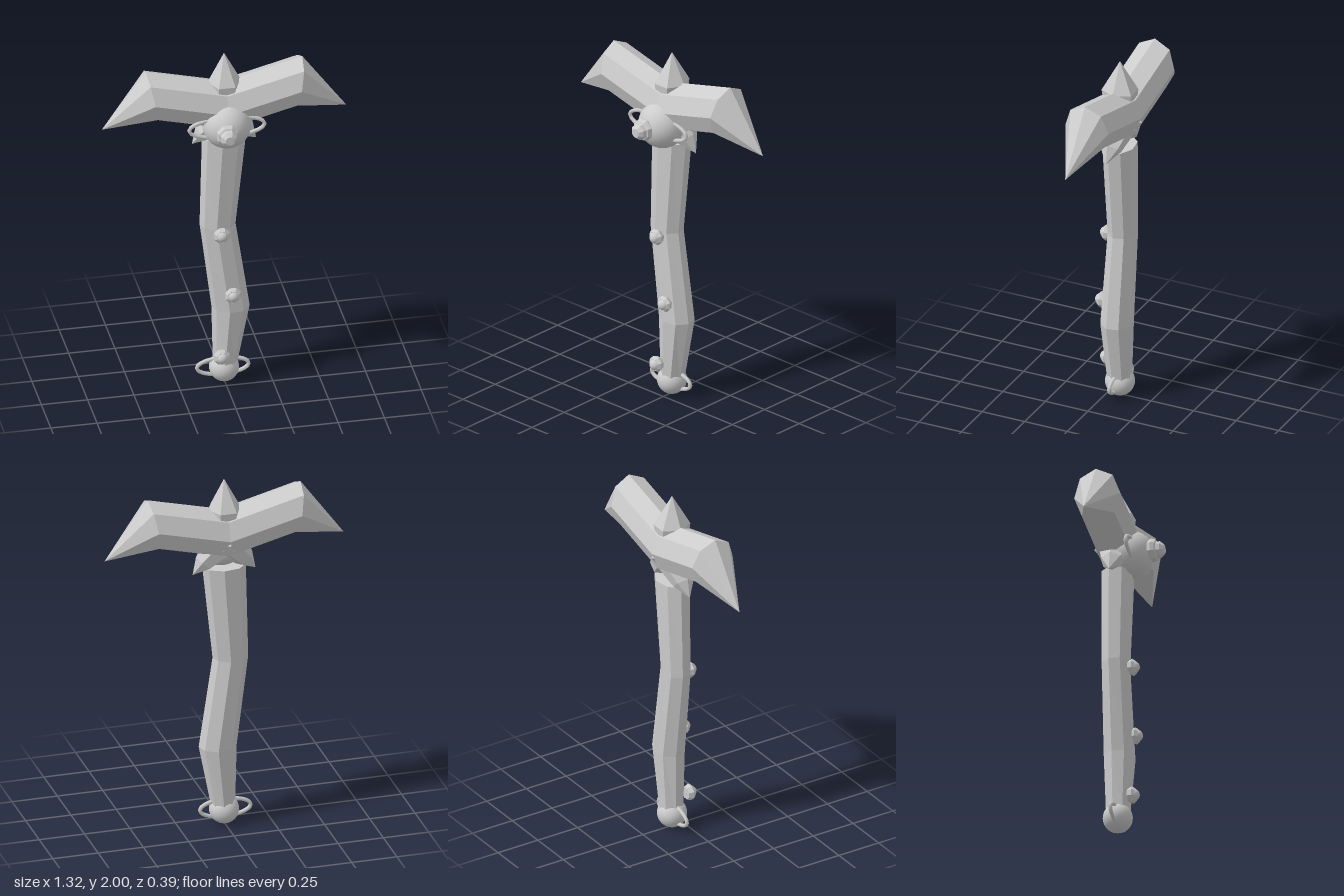
import * as THREE from 'three';

const Z = -0.067; // depth of the handle and blade axis

export function createModel() {
  const root = new THREE.Group();
  const stone = new THREE.MeshStandardMaterial({ color: 0xcccccc });

  function add(name, geometry, x = 0, y = 0, z = 0, parent = root) {
    const mesh = new THREE.Mesh(geometry, stone);
    mesh.name = name;
    mesh.position.set(x, y, z);
    parent.add(mesh);
    return mesh;
  }

  // Faceted tube along +y: rings are [shift x, y, radius x, radius z, tilt]; radius 0 makes a point
  function loft(rings, sides, turn = 0) {
    const pos = [];
    const at = ([cx, y, rx, rz, tilt = 0], i) => {
      const a = turn + (i % sides) / sides * Math.PI * 2;
      return [cx + rx * Math.cos(a), y + tilt * rx * Math.cos(a), rz * Math.sin(a)];
    };
    const first = rings[0], last = rings[rings.length - 1];
    for (let i = 0; i < sides; i++) {
      for (let r = 0; r < rings.length - 1; r++) {
        const a = at(rings[r], i), b = at(rings[r], i + 1);
        const c = at(rings[r + 1], i + 1), d = at(rings[r + 1], i);
        if (rings[r][2] > 0) pos.push(...a, ...c, ...b);
        if (rings[r + 1][2] > 0) pos.push(...a, ...d, ...c);
      }
      if (first[2] > 0) pos.push(first[0], first[1], 0, ...at(first, i), ...at(first, i + 1));
      if (last[2] > 0) pos.push(last[0], last[1], 0, ...at(last, i + 1), ...at(last, i));
    }
    const g = new THREE.BufferGeometry();
    g.setAttribute('position', new THREE.Float32BufferAttribute(pos, 3));
    g.computeVertexNormals();
    return g;
  }

  // Crooked handle
  add('handle', loft([
    [0.005, 0.1, 0.064, 0.068],
    [0.035, 0.45, 0.102, 0.086],
    [-0.035, 0.96, 0.096, 0.077],
    [0, 1.5, 0.118, 0.087],
  ], 8, 0.19), 0, 0, Z);

  // Two drooping blades, lofted along y then laid on their sides
  for (const side of [1, -1]) {
    const wing = loft([
      [side * -1.685, 0, 0.138, 0.127],
      [side * -1.785, 0.395, 0.145, 0.127, side * -0.19],
      [side * -1.605, 0.66, 0, 0],
    ], 8);
    wing.rotateZ(-side * Math.PI / 2);
    add(side > 0 ? 'leftBlade' : 'rightBlade', wing, 0, 0, Z);
  }

  // Faceted core joining the blades
  const core = new THREE.OctahedronGeometry(1, 0);
  core.scale(0.14, 0.17, 0.13);
  add('bladeCore', core, 0, 1.66, Z);

  // Crown spike
  add('topSpike', loft([
    [0, 1.58, 0.05, 0.05],
    [0, 1.7, 0.07, 0.085],
    [0, 1.83, 0.09, 0.1],
    [0, 2, 0, 0],
  ], 6), 0, 0, Z);

  // Lower spikes and small collar spikes beside the front orb
  for (const side of [1, -1]) {
    const low = add('lowerSpike', loft([
      [0, 0, 0.09, 0.12],
      [0, 0.17, 0.055, 0.06],
      [0, 0.26, 0, 0],
    ], 6), 0, 1.655, Z);
    low.rotation.z = -side * 2.41;
    const collar = add('collarSpike', loft([[0, 0, 0.045, 0.035], [0, 0.1, 0, 0]], 5),
      side * 0.06, 1.65, 0.03);
    collar.rotation.z = -side * 0.45;
  }

  // Front orb with a stepped boss
  add('frontOrb', new THREE.SphereGeometry(0.13, 32, 20), 0, 1.605, 0.005);
  const boss = loft([
    [0, 0, 0.05, 0.05],
    [0, 0.035, 0.064, 0.064],
    [0, 0.055, 0.056, 0.056],
    [0, 0.06, 0.046, 0.046],
    [0, 0.08, 0.044, 0.044],
    [0, 0.1, 0.026, 0.026],
  ], 8, Math.PI / 8);
  boss.rotateX(Math.PI / 2);
  add('orbBoss', boss, -0.02, 1.608, 0.096);

  // Pommel
  add('pommel', new THREE.SphereGeometry(0.08, 28, 18), 0, 0.08, Z);

  // Flattened oval rings through the orb and the pommel
  function ovalRing(name, rx, ry, x, y, z) {
    const points = [];
    for (let i = 0; i < 24; i++) {
      const a = i / 24 * Math.PI * 2;
      points.push(new THREE.Vector3(rx * Math.cos(a), ry * Math.sin(a), 0));
    }
    const path = new THREE.CatmullRomCurve3(points, true);
    add(name, new THREE.TubeGeometry(path, 40, 0.011, 6, true), x, y, z);
  }
  ovalRing('orbRing', 0.204, 0.06, -0.005, 1.603, 0.035);
  ovalRing('pommelRing', 0.14, 0.05, -0.007, 0.085, Z);

  // Rivets along the handle front
  for (const [x, y] of [[-0.03, 0.935], [0.03, 0.562], [-0.03, 0.19]]) {
    const rivet = new THREE.Group();
    rivet.name = 'rivet';
    rivet.position.set(x, y, 0);
    root.add(rivet);
    const base = loft([[0, 0, 0.036, 0.036], [0, 0.026, 0.046, 0.046], [0, 0.042, 0.034, 0.034]],
      8, Math.PI / 8);
    base.rotateX(Math.PI / 2);
    add('rivetBase', base, 0, 0, 0, rivet);
    add('rivetCap', new THREE.SphereGeometry(0.032, 16, 12), 0, 0, 0.03, rivet);
  }

  return root;
}
